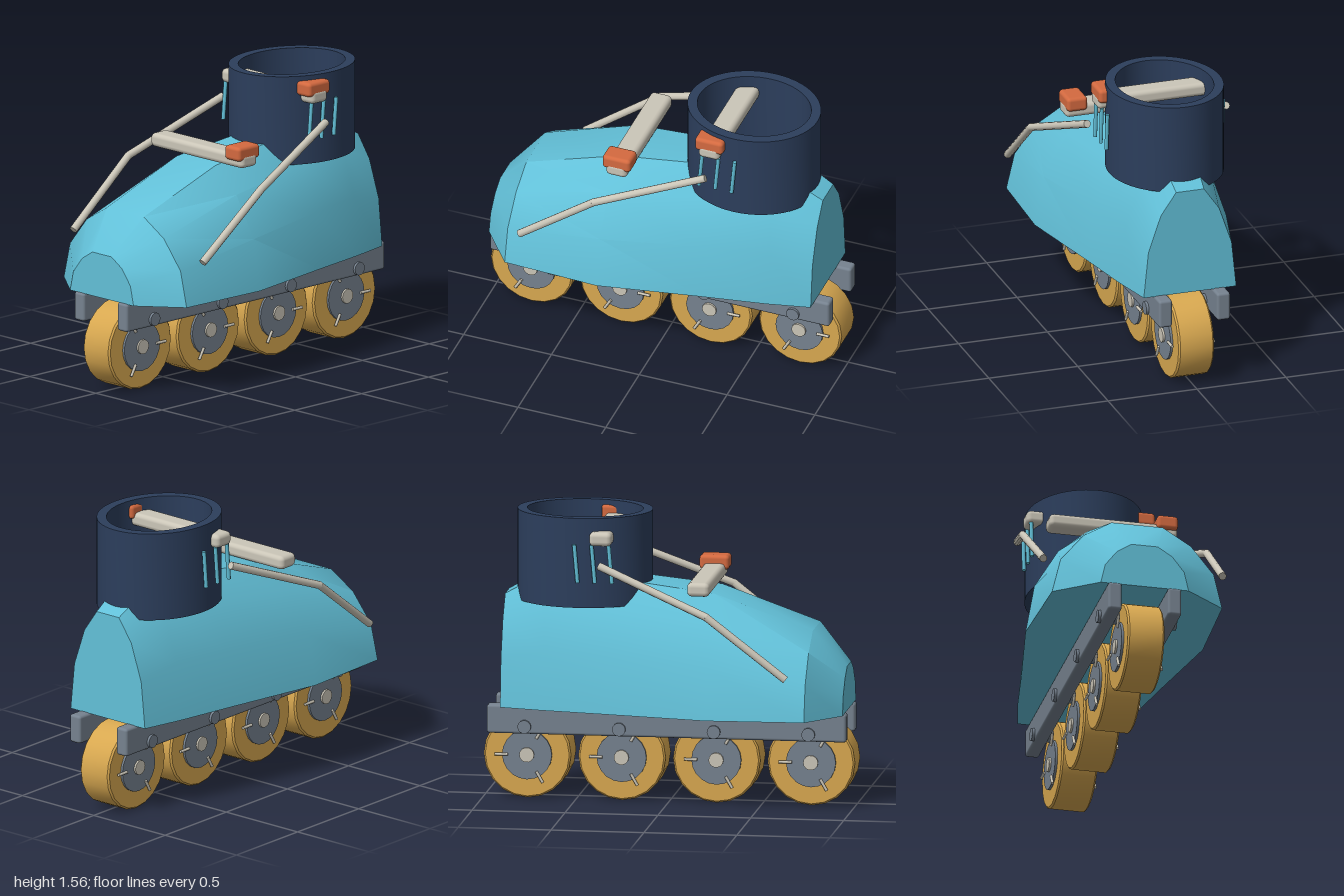
import * as THREE from 'three';
import { toCreasedNormals } from 'three/addons/utils/BufferGeometryUtils.js';
import { RoundedBoxGeometry } from 'three/addons/geometries/RoundedBoxGeometry.js';

const paint = (name, color) => {
  const m = new THREE.MeshStandardMaterial({ color });
  m.name = name;
  return m;
};

export function createModel() {
  const teal = paint('teal shell', 0x62c0d8);
  const navy = paint('navy cuff', 0x2c3e5c);
  const ochre = paint('ochre wheel', 0xd8a850);
  const grey = paint('grey metal', 0x76828f);
  const orange = paint('orange buckle', 0xd46a40);
  const beige = paint('beige strap', 0xcbc6b8);

  const model = new THREE.Group();
  model.name = 'inlineSkate';

  const add = (name, geometry, material, x = 0, y = 0, z = 0, parent = model) => {
    const mesh = new THREE.Mesh(geometry, material);
    mesh.name = name;
    mesh.position.set(x, y, z);
    parent.add(mesh);
    return mesh;
  };

  // Cylinder between two points
  const rod = (name, from, to, radius, sides, material, parent = model) => {
    const a = new THREE.Vector3(...from), b = new THREE.Vector3(...to);
    const dir = b.clone().sub(a);
    const mesh = add(name, new THREE.CylinderGeometry(radius, radius, dir.length(), sides), material, 0, 0, 0, parent);
    mesh.position.copy(a).add(b).multiplyScalar(0.5);
    mesh.quaternion.setFromUnitVectors(new THREE.Vector3(0, 1, 0), dir.normalize());
    return mesh;
  };

  // Boot shell: arched cross-sections [z, half width, top height] from toe to heel
  add('bootShell', bootGeometry([
    [0.955, 0.24, 0.76],
    [0.78, 0.465, 0.96],
    [0.25, 0.485, 1.147],
    [-0.3, 0.378, 1.21],
    [-0.65, 0.315, 1.235],
    [-0.885, 0.26, 1.105],
  ], 0.52), teal);

  // Ankle cuff: hollow oval sleeve
  const oval = new THREE.Shape().absellipse(0, 0, 0.31, 0.362, 0, Math.PI * 2);
  oval.holes.push(new THREE.Path().absellipse(0, 0, 0.257, 0.31, 0, Math.PI * 2, true));
  const cuff = new THREE.ExtrudeGeometry(oval, { depth: 0.485, bevelEnabled: false, curveSegments: 28 });
  cuff.rotateX(-Math.PI / 2);
  add('cuff', toCreasedNormals(cuff, 0.6), navy, 0, 1.08, -0.465);

  // Straps, each with a buckle on the left end
  for (const [y, z] of [[1.2, 0.192], [1.458, -0.335]]) {
    add('strap', new RoundedBoxGeometry(0.7, 0.075, 0.12, 2, 0.025), beige, 0, y, z);
    add('buckle', new RoundedBoxGeometry(0.115, 0.078, 0.16, 2, 0.02), orange, 0.29, y + 0.042, z);
  }

  for (const s of [1, -1]) {
    // Bent side braces
    const low = [s * 0.49, 0.755, 0.685];
    const mid = [s * 0.503, 1.085, 0.26];
    const high = [s * 0.39, 1.325, -0.335];
    rod('lowerBrace', low, mid, 0.021, 10, beige);
    rod('upperBrace', mid, high, 0.021, 10, beige);
    add('braceJoint', new THREE.SphereGeometry(0.021, 10, 8), beige, ...mid);

    // Short cords beside the cuff
    for (const z of [-0.282, -0.374, -0.467]) {
      rod('cord', [s * 0.325, 1.22, z + 0.008], [s * 0.325, 1.425, z - 0.01], 0.011, 8, teal);
    }

    // Frame rail
    add('frameRail', new RoundedBoxGeometry(0.075, 0.155, 1.934, 2, 0.015), grey, s * 0.163, 0.445, 0);
  }

  // Wheels with hubs, caps, spokes and the frame bolts above them
  const tyreGeometry = toCreasedNormals(new THREE.LatheGeometry([
    [0.05, -0.1], [0.226, -0.1], [0.235, -0.091], [0.235, 0.091], [0.226, 0.1], [0.05, 0.1],
  ].map(([r, y]) => new THREE.Vector2(r, y)), 20), 0.5);
  for (const z of [0.765, 0.256, -0.254, -0.763]) {
    const wheel = new THREE.Group();
    wheel.name = 'wheel';
    wheel.position.set(0, 0.24, z);
    model.add(wheel);
    add('tyre', tyreGeometry, ochre, 0, 0, 0, wheel).rotation.z = Math.PI / 2;
    rod('hub', [-0.113, 0, 0], [0.113, 0, 0], 0.134, 20, grey, wheel);
    rod('hubCap', [-0.124, 0, 0], [0.124, 0, 0], 0.04, 14, beige, wheel);
    for (const s of [1, -1]) {
      for (let i = 0; i < 3; i++) {
        const a = (i * Math.PI * 2) / 3;
        const at = (r) => [s * 0.117, r * Math.sin(a), -r * Math.cos(a)];
        rod('spoke', at(0.102), at(0.172), 0.008, 8, beige, wheel);
      }
    }
    rod('frameBolt', [-0.215, 0.408, z], [0.215, 0.408, z], 0.036, 14, grey);
  }
  return model;
}

// Lofts a flat-bottomed arch through the sections and closes both ends
function bootGeometry(sections, base) {
  const half = [[1, 0], [0.9, 0.44], [0.63, 0.79], [0.3, 1]];
  const arch = [...half, ...half.slice().reverse().map(([x, y]) => [-x, y])];
  const n = arch.length, last = (sections.length - 1) * n;
  const positions = [], index = [];
  for (const [z, width, top] of sections) {
    for (const [x, y] of arch) positions.push(x * width, base + y * (top - base), z);
  }
  for (let i = 0; i < sections.length - 1; i++) {
    for (let j = 0; j < n; j++) {
      const a = i * n + j, b = i * n + (j + 1) % n;
      index.push(a, a + n, b, b, a + n, b + n);
    }
  }
  for (let j = 1; j < n - 1; j++) {
    index.push(0, j, j + 1, last, last + j + 1, last + j);
  }
  const geometry = new THREE.BufferGeometry();
  geometry.setAttribute('position', new THREE.Float32BufferAttribute(positions, 3));
  geometry.setIndex(index);
  return toCreasedNormals(geometry, 0.6);
}
